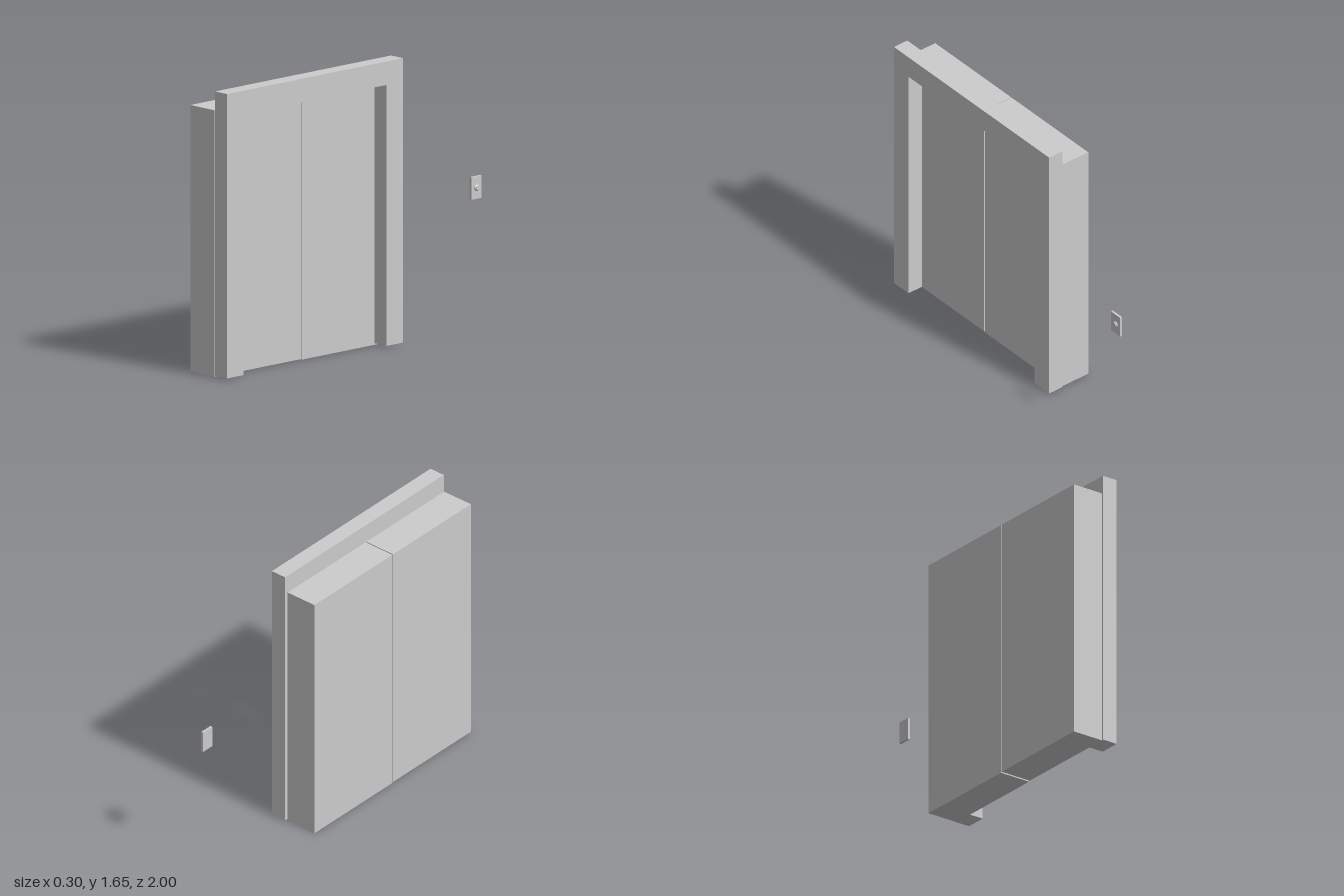
import * as THREE from 'three';

const material = new THREE.MeshStandardMaterial({ color: 0xcccccc });

function box(name, [x0, x1], [y0, y1], [z0, z1]) {
  const mesh = new THREE.Mesh(new THREE.BoxGeometry(x1 - x0, y1 - y0, z1 - z0), material);
  mesh.position.set((x0 + x1) / 2, (y0 + y1) / 2, (z0 + z1) / 2);
  mesh.name = name;
  return mesh;
}

export function createModel() {
  const model = new THREE.Group();
  model.name = 'elevatorDoor';

  // Door surround: an upside-down U, drawn with -z to the right, extruded along +x
  const outline = [
    [-1, 0.01], [-0.87, 0.01], [-0.87, 1.515], [0.25, 1.515],
    [0.25, 0.01], [0.378, 0.01], [0.378, 1.65], [-1, 1.65],
  ].map(([u, y]) => new THREE.Vector2(u, y));
  const frame = new THREE.Mesh(
    new THREE.ExtrudeGeometry(new THREE.Shape(outline), { depth: 0.098, bevelEnabled: false }),
    material,
  );
  frame.rotation.y = Math.PI / 2;
  frame.position.x = 0.05;
  frame.name = 'doorFrame';
  model.add(frame);

  // Two thick sliding doors with a narrow gap between them
  model.add(box('frontDoor', [-0.152, 0.046], [0.004, 1.54], [0.323, 0.998]));
  model.add(box('rearDoor', [-0.152, 0.046], [0, 1.54], [-0.36, 0.317]));

  // Call panel standing apart from the frame
  const panel = new THREE.Group();
  panel.name = 'callPanel';
  panel.add(box('panelPlate', [0.127, 0.141], [0.75, 0.88], [-1, -0.92]));

  // Round call button facing +x
  const profile = [[0.019, 0], [0.019, 0.004], [0.015, 0.007], [0.013, 0.011], [0, 0.011]]
    .map(([r, h]) => new THREE.Vector2(r, h));
  const buttonMaterial = material.clone();
  buttonMaterial.flatShading = true;
  const button = new THREE.Mesh(new THREE.LatheGeometry(profile, 24), buttonMaterial);
  button.rotation.z = -Math.PI / 2;
  button.position.set(0.141, 0.815, -0.96);
  button.name = 'callButton';
  panel.add(button);
  model.add(panel);

  return model;
}
